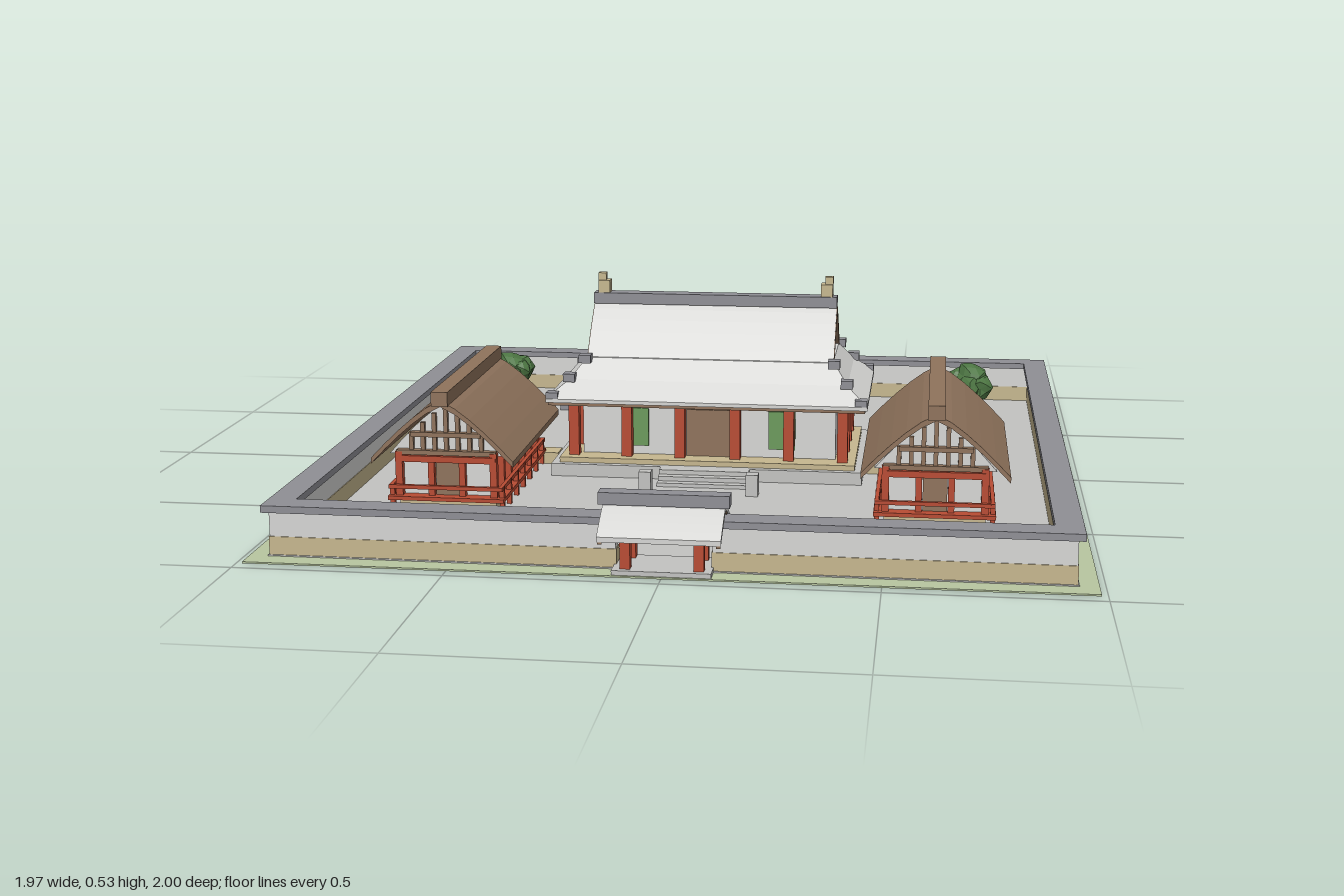
import * as THREE from 'three';

const mat = (name, color, extra = {}) => {
  const m = new THREE.MeshStandardMaterial({ color, ...extra });
  m.name = name;
  return m;
};

export function createModel() {
  const grass = mat('grass', 0xb8c6a0);
  const paving = mat('paving', 0xc3c3c1);
  const tile = mat('grey tile', 0x8f8f95);
  const pale = mat('pale roof and plaster', 0xd6d6d4);
  const tan = mat('tan', 0xc6b78f);
  const brown = mat('brown wood', 0x8f735c);
  const red = mat('red timber', 0xb84c34);
  const green = mat('green shutter', 0x6c9a5c);
  const leaf = mat('leaf', 0x4c7542, { flatShading: true });
  const earth = mat('earth', 0xa98463);

  const root = new THREE.Group();
  root.name = 'walledCompound';
  const group = (name, parent = root) => {
    const g = new THREE.Group();
    g.name = name;
    parent.add(g);
    return g;
  };
  const add = (parent, name, geo, m) => {
    const mesh = new THREE.Mesh(geo, m);
    mesh.name = name;
    parent.add(mesh);
    return mesh;
  };
  // Box given by its extents on each axis
  const box = (p, name, m, x0, x1, y0, y1, z0, z1) => {
    const mesh = add(p, name, new THREE.BoxGeometry(x1 - x0, y1 - y0, z1 - z0), m);
    mesh.position.set((x0 + x1) / 2, (y0 + y1) / 2, (z0 + z1) / 2);
    return mesh;
  };
  const post = (p, name, m, x, z, y0, y1, s) =>
    box(p, name, m, x - s / 2, x + s / 2, y0, y1, z - s / 2, z + s / 2);

  // Bowed gable profile, from the left eave over the ridge to the right eave
  const profile = (w, eave, ridge, power) => {
    const pts = [];
    for (let i = -5; i <= 5; i++) {
      const t = Math.abs(i) / 5;
      pts.push(new THREE.Vector2((w * i) / 5, ridge - (ridge - eave) * t ** power));
    }
    return pts;
  };
  const extrude = (pts, len) => {
    const g = new THREE.ExtrudeGeometry(new THREE.Shape(pts), { depth: len, bevelEnabled: false });
    return g.translate(0, 0, -len / 2);
  };
  const gableRoof = (w, eave, ridge, power, len, thick) => {
    const outer = profile(w, eave, ridge, power);
    const inner = outer.map(p => new THREE.Vector2(p.x, p.y - thick)).reverse();
    return extrude([...outer, ...inner], len);
  };
  const gableFill = (w, eave, ridge, power, len) => extrude(profile(w, eave, ridge, power), len);

  // Stacked rectangles [halfX, y, halfZ] joined by sloping faces
  const rectLoft = rings => {
    const pos = [];
    const corner = (r, k) => [r[0] * [1, 1, -1, -1][k], r[1], r[2] * [1, -1, -1, 1][k]];
    for (let i = 0; i + 1 < rings.length; i++) {
      for (let k = 0; k < 4; k++) {
        const a = corner(rings[i], k), b = corner(rings[i], (k + 1) % 4);
        const c = corner(rings[i + 1], (k + 1) % 4), d = corner(rings[i + 1], k);
        pos.push(...a, ...b, ...c, ...a, ...c, ...d);
      }
    }
    const top = [0, 1, 2, 3].map(k => corner(rings[rings.length - 1], k));
    pos.push(...top[0], ...top[1], ...top[2], ...top[0], ...top[2], ...top[3]);
    const g = new THREE.BufferGeometry();
    g.setAttribute('position', new THREE.Float32BufferAttribute(pos, 3));
    g.computeVertexNormals();
    return g;
  };

  // Ground
  box(root, 'grassVerge', grass, -0.985, 0.985, 0.001, 0.005, -1, 0.97);
  box(root, 'courtyard', paving, -0.94, 0.94, 0, 0.008, -0.955, 0.92);

  // Perimeter wall: tan base, plaster band, tile cap, open at the gate
  const wall = group('perimeterWall');
  const run = (x0, x1, z0, z1) => {
    box(wall, 'wallBase', tan, x0 - 0.02, x1 + 0.02, 0.004, 0.052, z0 - 0.02, z1 + 0.02);
    box(wall, 'wallPlaster', pale, x0 - 0.018, x1 + 0.018, 0.052, 0.113, z0 - 0.018, z1 + 0.018);
    box(wall, 'wallCap', tile, x0 - 0.033, x1 + 0.033, 0.113, 0.13, z0 - 0.033, z1 + 0.033);
  };
  for (const s of [-1, 1]) {
    run(s * 0.917, s * 0.917, -0.932, 0.897);
    run(Math.min(s * 0.13, s * 0.885), Math.max(s * 0.13, s * 0.885), 0.897, 0.897);
  }
  run(-0.885, 0.885, -0.932, -0.932);

  // Gatehouse
  const gate = group('gate');
  box(gate, 'gateSill', paving, -0.115, 0.115, 0.002, 0.016, 0.84, 0.965);
  for (const x of [-0.085, 0.085])
    for (const z of [0.855, 0.94]) post(gate, 'gatePost', red, x, z, 0.016, 0.095, 0.024);
  for (const z of [0.855, 0.94]) box(gate, 'gateBeam', brown, -0.13, 0.13, 0.088, 0.105, z - 0.012, z + 0.012);
  const gateRoof = add(gate, 'gateRoof', gableRoof(0.1, 0.105, 0.16, 1.25, 0.283, 0.012), pale);
  gateRoof.rotation.y = Math.PI / 2;
  gateRoof.position.z = 0.9;
  for (const x of [-0.135, 0.135]) {
    const barge = add(gate, 'gateBargeboard', gableRoof(0.098, 0.099, 0.154, 1.25, 0.01, 0.012), brown);
    barge.rotation.y = Math.PI / 2;
    barge.position.set(x, 0, 0.9);
  }
  box(gate, 'gateRidge', tile, -0.152, 0.152, 0.157, 0.186, 0.88, 0.918);

  // Main hall, built around its own centre
  const hall = group('mainHall');
  hall.position.z = -0.09;
  box(hall, 'hallPlinth', paving, -0.42, 0.42, 0.004, 0.042, -0.24, 0.24);
  box(hall, 'hallFloor', tan, -0.4, 0.4, 0.042, 0.056, -0.222, 0.222);
  box(hall, 'hallWalls', pale, -0.345, 0.345, 0.056, 0.206, -0.16, 0.16);
  for (let i = 0; i < 3; i++)
    box(hall, 'frontStep', paving, -0.12, 0.12, 0.004, 0.042 - i * 0.012, 0.24, 0.27 + i * 0.023);
  for (const s of [-1, 1]) {
    for (const x of [-0.365, -0.22, -0.075, 0.075, 0.22, 0.365])
      post(hall, 'hallColumn', red, x, s * 0.18, 0.056, 0.206, 0.028);
    for (const z of [-0.06, 0.06]) post(hall, 'hallSideColumn', red, s * 0.365, z, 0.056, 0.206, 0.028);
    box(hall, 'hallSideShutter', green, s * 0.348 - 0.004, s * 0.348 + 0.004, 0.08, 0.185, -0.033, 0.033);
    box(hall, 'hallLintel', red, -0.37, 0.37, 0.19, 0.206, s * 0.172 - 0.007, s * 0.172 + 0.007);
    box(hall, 'hallSideLintel', red, s * 0.358 - 0.007, s * 0.358 + 0.007, 0.19, 0.206, -0.18, 0.18);
    for (const x of [-0.2, 0.2])
      box(hall, 'hallShutter', green, x - 0.036, x + 0.036, 0.08, 0.185, s * 0.163 - 0.004, s * 0.163 + 0.004);
  }
  box(hall, 'hallDoor', brown, -0.06, 0.06, 0.056, 0.185, 0.16, 0.167);
  box(hall, 'hallEaves', brown, -0.426, 0.426, 0.204, 0.216, -0.241, 0.241);
  add(hall, 'hallLowerRoof', rectLoft([
    [0.432, 0.212, 0.245], [0.432, 0.222, 0.245], [0.376, 0.266, 0.186], [0.335, 0.32, 0.13],
  ]), pale);
  const upper = add(hall, 'hallUpperRoof', gableRoof(0.134, 0.318, 0.452, 1.2, 0.67, 0.012), pale);
  upper.rotation.y = Math.PI / 2;
  const fill = add(hall, 'hallGableWall', gableFill(0.124, 0.31, 0.44, 1.2, 0.61), pale);
  fill.rotation.y = Math.PI / 2;
  for (const s of [-1, 1]) {
    const barge = add(hall, 'hallBargeboard', gableRoof(0.136, 0.314, 0.449, 1.2, 0.014, 0.018), brown);
    barge.rotation.y = Math.PI / 2;
    barge.position.x = s * 0.33;
    const xg = s * 0.31;
    for (const [z, h] of [[-0.056, 0.378], [-0.028, 0.405], [0, 0.435], [0.028, 0.405], [0.056, 0.378]])
      post(hall, 'hallGableStrut', brown, xg, z, 0.32, h, 0.012);
    for (const [y, w] of [[0.335, 0.1], [0.37, 0.072]])
      box(hall, 'hallGableBeam', brown, xg - 0.008, xg + 0.008, y - 0.006, y + 0.006, -w, w);
    // Hip blocks stepping up each corner
    for (const t of [-1, 1])
      for (const [x, y, z] of [[0.415, 0.228, 0.228], [0.375, 0.272, 0.19], [0.338, 0.317, 0.152]])
        box(hall, 'hipBlock', tile, s * x - 0.016, s * x + 0.016, y - 0.011, y + 0.011, t * z - 0.016, t * z + 0.016);
    box(hall, 'ridgeFinial', tan, s * 0.308 - 0.016, s * 0.308 + 0.016, 0.476, 0.51, -0.015, 0.021);
    box(hall, 'ridgeFinialTip', tan, s * 0.314 - 0.011, s * 0.314 + 0.011, 0.51, 0.53, -0.007, 0.013);
  }
  box(hall, 'hallRidge', tile, -0.336, 0.336, 0.446, 0.476, -0.02, 0.024);

  // Side halls, mirrored across the courtyard
  for (const s of [-1, 1]) {
    const side = group(s > 0 ? 'leftSideHall' : 'rightSideHall');
    side.position.set(s * 0.614, 0, 0.267);
    box(side, 'sideFoundation', tan, -0.125, 0.125, 0.004, 0.036, -0.235, 0.235);
    box(side, 'sideFloor', red, -0.15, 0.15, 0.036, 0.046, -0.262, 0.262);
    box(side, 'sideWalls', pale, -0.115, 0.115, 0.046, 0.152, -0.228, 0.228);
    for (const t of [-1, 1]) {
      for (let i = 0; i < 7; i++) {
        const z = -0.24 + i * 0.08;
        post(side, 'sideColumn', red, t * 0.122, z, 0.046, 0.16, 0.018);
        post(side, 'sideStilt', red, t * 0.142, z, 0.006, 0.075, 0.012);
      }
      box(side, 'sideRail', red, t * 0.142 - 0.005, t * 0.142 + 0.005, 0.066, 0.076, -0.262, 0.262);
      box(side, 'endRail', red, -0.142, 0.142, 0.066, 0.076, t * 0.256 - 0.005, t * 0.256 + 0.005);
      for (const x of [-0.04, 0.04]) post(side, 'endColumn', red, x, t * 0.236, 0.046, 0.14, 0.016);
      box(side, 'endDoor', brown, -0.03, 0.03, 0.046, 0.13, t * 0.23 - 0.004, t * 0.23 + 0.004);
      box(side, 'endBeam', red, -0.128, 0.128, 0.134, 0.15, t * 0.24 - 0.01, t * 0.24 + 0.01);
      // Gable timbering
      for (const [x, h] of [[-0.09, 0.21], [-0.06, 0.235], [-0.03, 0.26], [0, 0.285], [0.03, 0.26], [0.06, 0.235], [0.09, 0.21]])
        post(side, 'gableStrut', brown, x, t * 0.236, 0.15, h, 0.011);
      for (const [y, w] of [[0.158, 0.128], [0.205, 0.09]])
        box(side, 'gableBeam', brown, -w, w, y - 0.006, y + 0.006, t * 0.238 - 0.009, t * 0.238 + 0.009);
    }
    add(side, 'sideGableWall', gableFill(0.15, 0.15, 0.285, 1.3, 0.456), pale);
    add(side, 'sideRoof', gableRoof(0.182, 0.152, 0.303, 1.3, 0.575, 0.015), brown);
    box(side, 'sideRidge', brown, -0.021, 0.021, 0.29, 0.327, -0.295, 0.295);
    // Short passage to the main hall
    box(root, 'passage', tan, s * 0.465 - 0.04, s * 0.465 + 0.04, 0.004, 0.04, -0.03, 0.03);
  }

  // Stone pillars before the steps
  for (const x of [-0.142, 0.14]) post(root, 'stonePillar', paving, x, 0.277, 0.004, 0.065, 0.032);

  // Garden stones
  for (const [x, z] of [[-0.525, -0.63], [-0.58, -0.475], [-0.222, -0.648], [-0.147, -0.497],
    [0.215, -0.66], [0.152, -0.505], [0.52, -0.642], [0.574, -0.482]])
    post(root, 'gardenStone', tile, x, z, 0.002, 0.03, 0.044);

  // Trees with clumped, faceted crowns
  let seed = 7;
  const rnd = () => (seed = (seed * 16807) % 2147483647) / 2147483647;
  for (const [x, z, dx] of [[-0.73, -0.73, 0.02], [-0.22, -0.76, 0.012], [0.265, -0.735, -0.005], [0.715, -0.74, 0.015]]) {
    const tree = group('tree');
    tree.position.set(x, 0, z);
    add(tree, 'soil', new THREE.CylinderGeometry(0.052, 0.055, 0.008, 12), earth).position.set(dx, 0.01, 0);
    add(tree, 'trunk', new THREE.CylinderGeometry(0.009, 0.014, 0.08, 6), brown).position.set(dx / 2, 0.046, 0);
    for (let i = 0; i < 6; i++) {
      const r = i ? 0.034 + rnd() * 0.012 : 0.05;
      const crown = new THREE.IcosahedronGeometry(r, 1);
      const p = crown.attributes.position;
      for (let v = 0; v < p.count; v++) {
        const k = 1 + 0.14 * Math.sin(p.getX(v) * 190 + i) * Math.cos(p.getZ(v) * 170 + p.getY(v) * 140);
        p.setXYZ(v, p.getX(v) * k, p.getY(v) * k, p.getZ(v) * k);
      }
      crown.computeVertexNormals();
      const a = i * 1.257 + rnd();
      const d = i ? 0.036 : 0;
      add(tree, 'crown', crown, leaf).position.set(Math.cos(a) * d, i ? 0.085 + rnd() * 0.03 : 0.112, Math.sin(a) * d);
    }
  }
  return root;
}
